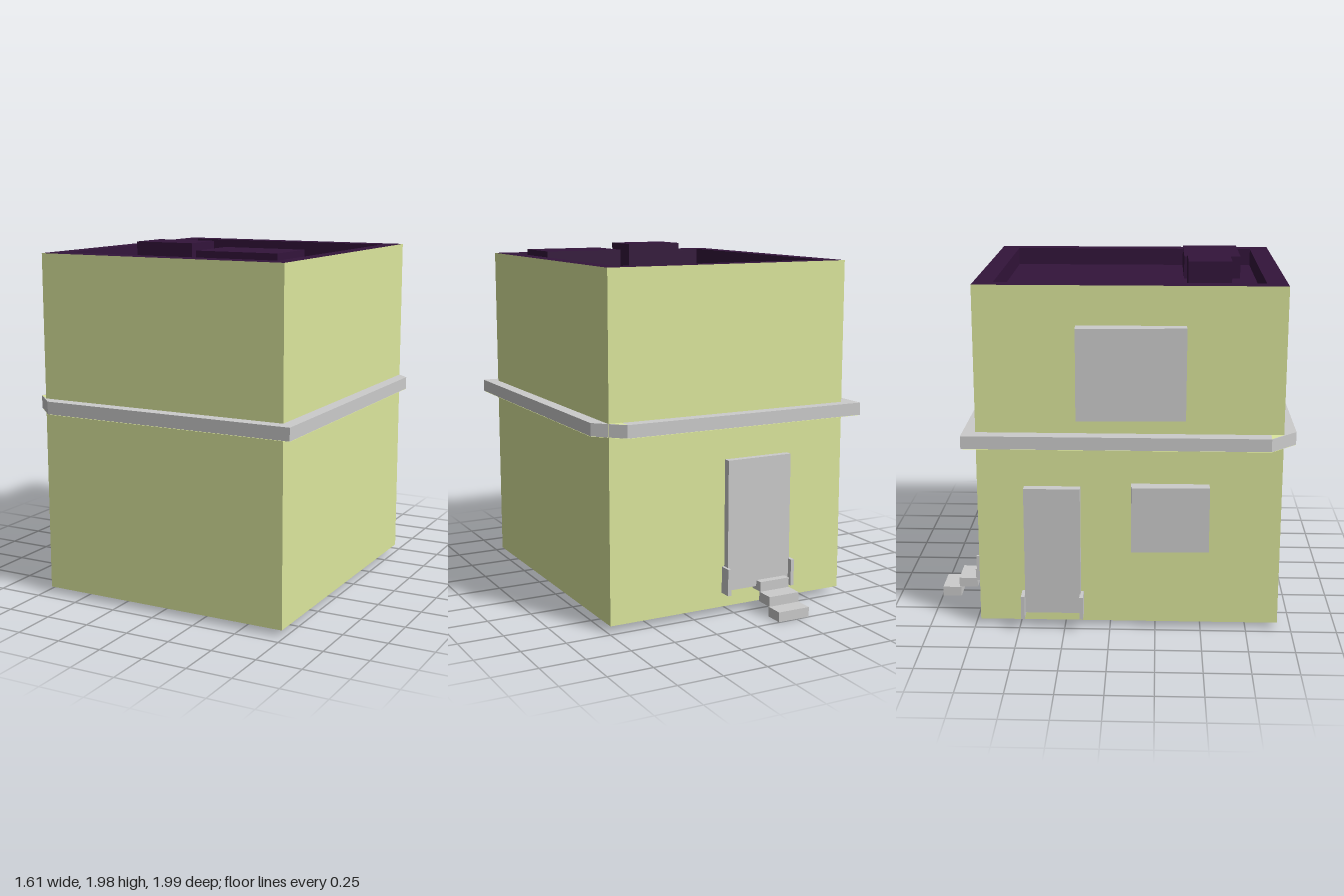
import * as THREE from 'three';

const mat = (color) => new THREE.MeshStandardMaterial({ color, flatShading: true, side: THREE.DoubleSide });

export function createModel() {
  const group = new THREE.Group();
  const grey = mat(0xcccccc), wall = mat(0xdce79d), roof = mat(0x33143b);

  const add = (name, geometry, material) => {
    const mesh = new THREE.Mesh(geometry, material);
    mesh.name = name;
    group.add(mesh);
    return mesh;
  };
  // Box from its minimum and maximum corners
  const box = (name, material, [x0, y0, z0], [x1, y1, z1]) => {
    const mesh = add(name, new THREE.BoxGeometry(x1 - x0, y1 - y0, z1 - z0), material);
    mesh.position.set((x0 + x1) / 2, (y0 + y1) / 2, (z0 + z1) / 2);
    return mesh;
  };
  // Plan outlines are given as [x, z]; shapes lie in x, -z and are turned flat
  const outline = (pts) => pts.map(([x, z]) => new THREE.Vector2(x, -z));
  const plan = (pts, hole) => {
    const shape = new THREE.Shape(outline(pts));
    if (hole) shape.holes.push(new THREE.Path(outline(hole)));
    return shape;
  };
  const flat = (shape, y) => new THREE.ShapeGeometry(shape).rotateX(-Math.PI / 2).translate(0, y, 0);
  const slab = (shape, y, height) =>
    new THREE.ExtrudeGeometry(shape, { depth: height, bevelEnabled: false }).rotateX(-Math.PI / 2).translate(0, y, 0);
  const rect = (x0, z0, x1, z1) => [[x0, z0], [x1, z0], [x1, z1], [x0, z1]];
  // Rectangle with the back left and front right corners cut off
  const cutRect = (x0, z0, x1, z1, c) =>
    [[x0, z0], [x1 - c, z0], [x1, z0 + c], [x1, z1], [x0 + c, z1], [x0, z1 - c]];

  // Walls: four sides, open underneath
  const X0 = -0.71, X1 = 0.735, Z0 = -0.72, Z1 = 0.925, BASE = 0.035, TOP = 1.915;
  const corners = rect(X0, Z0, X1, Z1);
  corners.forEach(([ax, az], i) => {
    const [bx, bz] = corners[(i + 1) % 4];
    const side = add('wall', new THREE.PlaneGeometry(Math.hypot(bx - ax, bz - az), TOP - BASE), wall);
    side.position.set((ax + bx) / 2, (TOP + BASE) / 2, (az + bz) / 2);
    side.rotation.y = [Math.PI, Math.PI / 2, 0, -Math.PI / 2][i];
  });

  // Roof: parapet rim, inner parapet faces and sunken floor
  const well = rect(-0.62, -0.615, 0.645, 0.815), FLOOR = 1.815;
  add('parapetRim', flat(plan(corners, well), TOP), roof);
  well.forEach(([ax, az], i) => {
    const [bx, bz] = well[(i + 1) % 4];
    const face = add('parapetInside', new THREE.PlaneGeometry(Math.hypot(bx - ax, bz - az), TOP - FLOOR), roof);
    face.position.set((ax + bx) / 2, (TOP + FLOOR) / 2, (az + bz) / 2);
    face.rotation.y = [0, -Math.PI / 2, Math.PI, Math.PI / 2][i];
  });
  add('roofFloor', flat(plan(well), FLOOR), roof);
  box('tallRoofBox', roof, [-0.275, FLOOR, 0.415], [0.065, 1.975, 0.655]);
  box('lowRoofBox', roof, [0.13, FLOOR, 0.4], [0.6, 1.943, 0.725]);

  // Ledge around the middle, with wall-coloured underside and corner patches
  const ledge = plan(cutRect(-0.79, -0.79, 0.805, 0.997, 0.142), cutRect(-0.64, -0.65, 0.665, 0.855, 0.1));
  add('ledge', slab(ledge, 1.05, 0.07), grey);
  add('ledgeUnderside', flat(ledge, 1.0485), wall);
  add('ledgePatch', flat(plan([[0.663, -0.79], [0.735, -0.72], [0.663, -0.72]]), 1.1215), wall);
  add('ledgePatch', flat(plan([[-0.79, 0.855], [-0.71, 0.928], [-0.71, 0.857]]), 1.1215), wall);

  // Windows in the right wall, turned very slightly
  const upper = box('upperWindow', grey, [-0.79, 1.21, -0.18], [-0.66, 1.705, 0.4]);
  const lower = box('lowerWindow', grey, [-0.783, 0.475, 0.115], [-0.66, 0.84, 0.535]);
  upper.rotation.y = 0.045;
  lower.rotation.y = 0.035;

  // Side door with a small bracket at each foot
  box('sideDoor', grey, [-0.762, 0.1, -0.465], [-0.66, 0.82, -0.16]);
  for (const z of [-0.475, -0.155]) box('sideDoorBracket', grey, [-0.805, 0.08, z - 0.01], [-0.68, 0.21, z + 0.01]);

  // Back door with brackets
  box('backDoor', grey, [-0.35, 0.135, -0.76], [0.045, 0.865, -0.67]);
  for (const x of [-0.355, 0.05]) box('backDoorBracket', grey, [x - 0.01, 0.115, -0.79], [x + 0.01, 0.265, -0.69]);

  // Steps down from the back door
  for (let i = 0; i < 3; i++) {
    const z = -0.997 + i * 0.097;
    box('step', grey, [-0.33 + i * 0.003, i * 0.057, z], [-0.138, i * 0.057 + 0.055, z + 0.107]);
  }
  return group;
}
